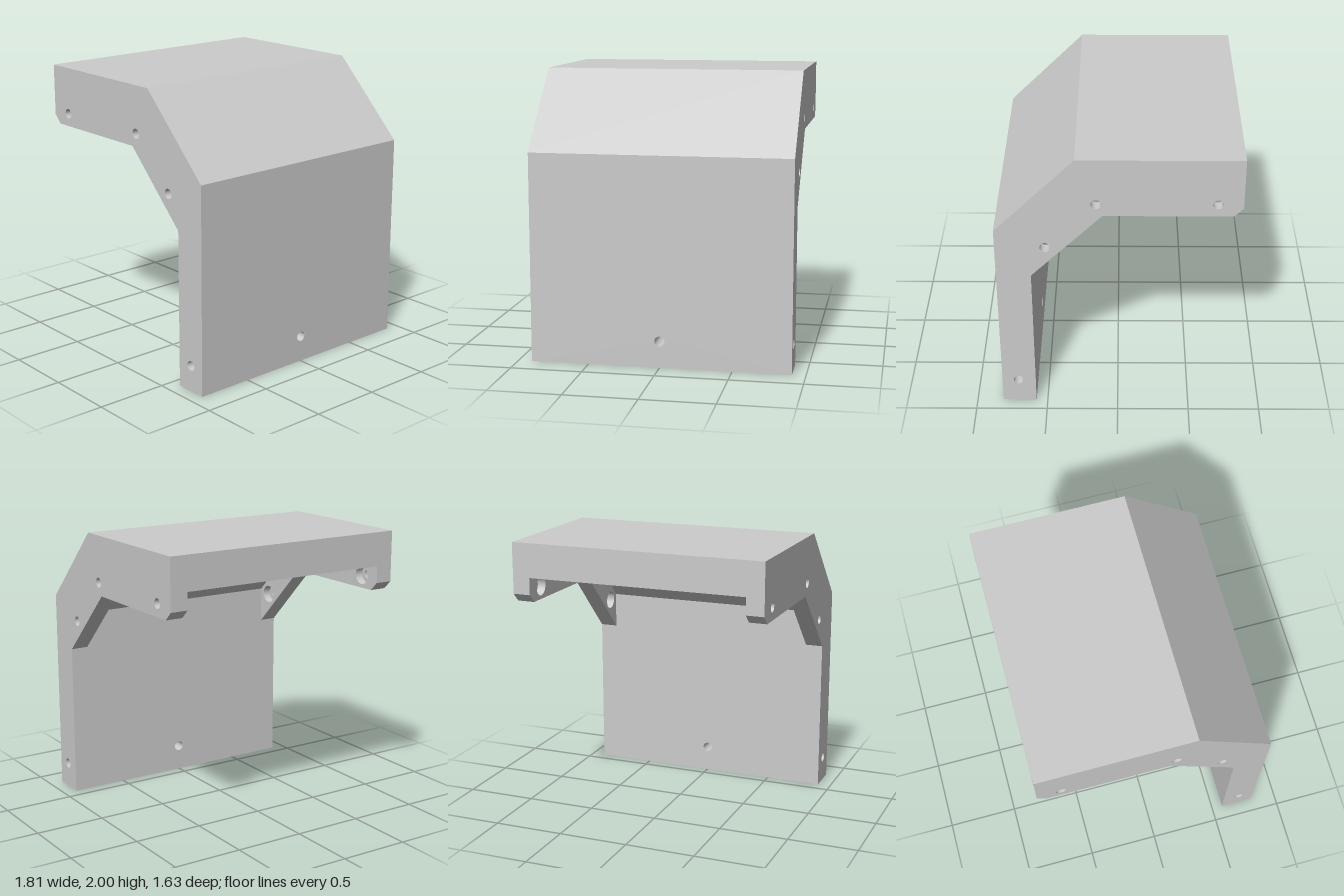
import * as THREE from 'three';

const W = 0.905;          // half width
const F = 0.78;           // inner face of the side flanges
const R = 0.035;          // screw hole radius
const BORE = 0.065;       // counterbore radius
const STEP = 0.84;        // x where the counterbore ends
const BLIND = 0.3;        // depth of the lower side holes
const ZF = 0.815, ZB = 0.58, ZE = -0.815;   // wall front, wall back, rear edge

// Profiles as [z, y]
const outer = [[ZB, 0], [ZF, 0], [ZF, 1.46], [0.275, 2], [ZE, 2]];
const flangeEdge = [[ZE, 1.64], [-0.755, 1.58], [0.1, 1.58], [ZB, 1.1]];
const underside = [[ZE, 1.76], [0.176, 1.76], [ZB, 1.356]];
const flangeHoles = [[0.14, 1.67], [-0.65, 1.67], [0.48, 1.33]];
const lowHole = [0.7, 0.185];

const grey = new THREE.MeshStandardMaterial({ color: 0xcccccc });
const greyInside = new THREE.MeshStandardMaterial({ color: 0xcccccc, side: THREE.DoubleSide });

export function createModel() {
  const model = new THREE.Group();
  const add = (name, geometry, material = grey) => {
    const mesh = new THREE.Mesh(geometry, material);
    mesh.name = name;
    model.add(mesh);
    return mesh;
  };

  // Flat faces that follow a profile path, spanning x0 to x1
  const strip = (name, path, x0, x1) => {
    const p = [];
    for (let i = 0; i + 1 < path.length; i++) {
      const [az, ay] = path[i], [bz, by] = path[i + 1];
      p.push(x0, ay, az, x1, ay, az, x1, by, bz, x0, ay, az, x1, by, bz, x0, by, bz);
    }
    const g = new THREE.BufferGeometry();
    g.setAttribute('position', new THREE.Float32BufferAttribute(p, 3));
    g.computeVertexNormals();
    return add(name, g);
  };

  // Flat outline with round holes
  const sheet = (points, holes = [], r = R) => {
    const s = new THREE.Shape(points.map(([u, v]) => new THREE.Vector2(u, v)));
    for (const [u, v] of holes) s.holes.push(new THREE.Path().absarc(u, v, r, 0, Math.PI * 2, true));
    return new THREE.ShapeGeometry(s, 16);
  };

  // Sheet in the z-y plane at a given x, facing along dir
  const sideSheet = (name, x, dir, points, holes, r) => {
    const turn = (list) => list.map(([z, y]) => [-dir * z, y]);
    add(name, sheet(turn(points), turn(holes), r).rotateY(dir * Math.PI / 2).translate(x, 0, 0));
  };

  // Bore wall along x
  const boreX = (name, [z, y], x0, x1, r) => {
    const g = new THREE.CylinderGeometry(r, r, Math.abs(x1 - x0), 32, 1, true);
    add(name, g.rotateZ(Math.PI / 2).translate((x0 + x1) / 2, y, z), greyInside);
  };

  // Outside skin
  strip('bottomEdge', outer.slice(0, 2), -W, W);
  strip('slopedTop', outer.slice(2, 4), -W, W);
  strip('topPlate', outer.slice(3, 5), -W, W);
  strip('plateUnderside', underside, -F, F);

  // Front wall with its through hole
  const wallHole = [[0, lowHole[1]]];
  add('frontWall', sheet([[-W, 0], [W, 0], [W, 1.46], [-W, 1.46]], wallHole).translate(0, 0, ZF));
  add('wallBack', sheet([[-W, 0], [W, 0], [W, 1.1], [F, 1.1], [F, 1.356], [-F, 1.356],
    [-F, 1.1], [-W, 1.1]], wallHole).rotateY(Math.PI).translate(0, 0, ZB));
  add('wallHole', new THREE.CylinderGeometry(R, R, ZF - ZB, 32, 1, true)
    .rotateX(Math.PI / 2).translate(0, lowHole[1], (ZF + ZB) / 2), greyInside);

  // Rear edge, notched between the flanges
  add('rearEdge', sheet([[-W, 1.64], [-F, 1.64], [-F, 1.76], [F, 1.76], [F, 1.64], [W, 1.64],
    [W, 2], [-W, 2]]).rotateY(Math.PI).translate(0, 0, ZE));

  // Side flanges with counterbored screw holes and a blind hole near the foot
  for (const [side, s] of [['left', 1], ['right', -1]]) {
    strip(side + 'FlangeEdge', flangeEdge, Math.min(s * F, s * W), Math.max(s * F, s * W));
    sideSheet(side + 'FlangeOuter', s * W, s, [...outer, ...flangeEdge], [...flangeHoles, lowHole], R);
    sideSheet(side + 'FlangeInner', s * F, -s, [...flangeEdge, ...underside.slice().reverse()], flangeHoles, BORE);
    for (const h of flangeHoles) {
      boreX(side + 'ScrewHole', h, s * STEP, s * W, R);
      boreX(side + 'Counterbore', h, s * F, s * STEP, BORE);
      add(side + 'CounterboreSeat', new THREE.RingGeometry(R, BORE, 32)
        .rotateY(-s * Math.PI / 2).translate(s * STEP, h[1], h[0]));
    }
    boreX(side + 'LowerHole', lowHole, s * (W - BLIND), s * W, R);
    add(side + 'LowerHoleEnd', new THREE.CircleGeometry(R, 32)
      .rotateY(s * Math.PI / 2).translate(s * (W - BLIND), lowHole[1], lowHole[0]));
  }
  return model;
}
